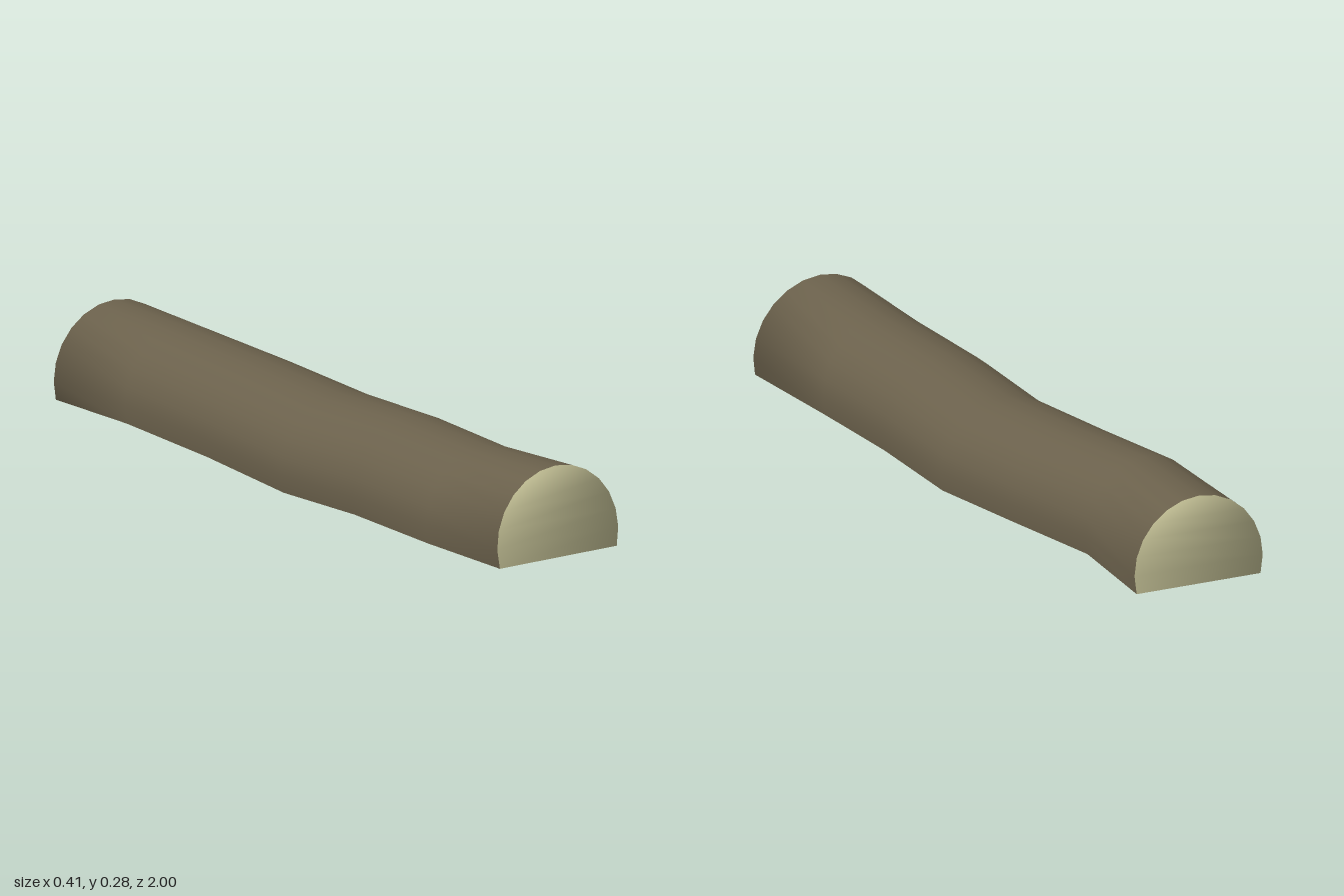
import * as THREE from 'three';

// Hollow half log: open underneath, closed by a pale cut face at each end.
// Cross-sections: z, left x, right x, bottom y, top y, roll about the length
const SECTIONS = [
  [1.00, -0.196, 0.199, 0.027, 0.277, 0],
  [0.67, -0.192, 0.176, 0.017, 0.262, -0.02],
  [0.33, -0.187, 0.190, 0.022, 0.265, 0.01],
  [0.00, -0.181, 0.204, 0.011, 0.250, 0.045],
  [-0.33, -0.190, 0.184, 0.030, 0.268, 0.02],
  [-0.67, -0.206, 0.151, 0.043, 0.287, 0],
  [-1.00, -0.200, 0.178, 0.032, 0.280, 0],
];
const SIDES = 14; // 15 degree steps, from -15 to 195 degrees
const START = -Math.PI / 12;
const STEP = Math.PI / 12;

export function createModel() {
  const positions = [];
  const row = SIDES + 1;
  const last = SECTIONS.length - 1;

  // Arched rings running from the front to the back
  SECTIONS.forEach(([z, left, right, bottom, top, roll], s) => {
    const cx = (left + right) / 2;
    const rx = (right - left) / 2;
    const ry = (top - bottom) / (1 + Math.sin(-START));
    const cy = top - ry;
    for (let i = 0; i <= SIDES; i++) {
      const a = START + i * STEP;
      const dx = rx * Math.cos(a);
      const dy = ry * Math.sin(a);
      const x = cx + dx * Math.cos(roll) - dy * Math.sin(roll);
      const y = cy + dx * Math.sin(roll) + dy * Math.cos(roll);
      // the end cuts lean slightly
      let lean = 0;
      if (s === 0) lean = -0.05 * (y - bottom);
      if (s === last) lean = 0.065 * (x - left);
      positions.push(x, y, z + lean);
    }
  });

  // Bark: strips between neighbouring rings
  const barkIndex = [];
  for (let s = 0; s < last; s++) {
    for (let i = 0; i < SIDES; i++) {
      const a = s * row + i;
      const b = a + row;
      barkIndex.push(a, b, a + 1, a + 1, b, b + 1);
    }
  }

  // Cut faces: level strips joining each rim from side to side
  const capIndex = (base, front) => {
    const out = [];
    const tri = (a, b, c) => out.push(base + a, base + (front ? b : c), base + (front ? c : b));
    for (let i = 0; i < SIDES / 2; i++) {
      const j = SIDES - i;
      tri(i, i + 1, j);
      if (i + 1 < j - 1) tri(i + 1, j - 1, j);
    }
    return out;
  };
  const frontIndex = capIndex(0, true);
  const backIndex = capIndex(last * row, false);

  // Shared normals give the soft rounding at the rims
  const whole = new THREE.BufferGeometry();
  whole.setAttribute('position', new THREE.Float32BufferAttribute(positions, 3));
  whole.setIndex([...barkIndex, ...frontIndex, ...backIndex]);
  whole.computeVertexNormals();

  const group = new THREE.Group();
  group.name = 'halfLog';
  const barkMaterial = new THREE.MeshStandardMaterial({ color: 0x6a604b, side: THREE.DoubleSide });
  const woodMaterial = new THREE.MeshStandardMaterial({ color: 0xb6b38b, side: THREE.DoubleSide });
  const addPart = (name, index, material) => {
    const geometry = whole.clone();
    geometry.setIndex(index);
    const mesh = new THREE.Mesh(geometry, material);
    mesh.name = name;
    group.add(mesh);
  };
  addPart('bark', barkIndex, barkMaterial);
  addPart('frontCutFace', frontIndex, woodMaterial);
  addPart('backCutFace', backIndex, woodMaterial);
  return group;
}
